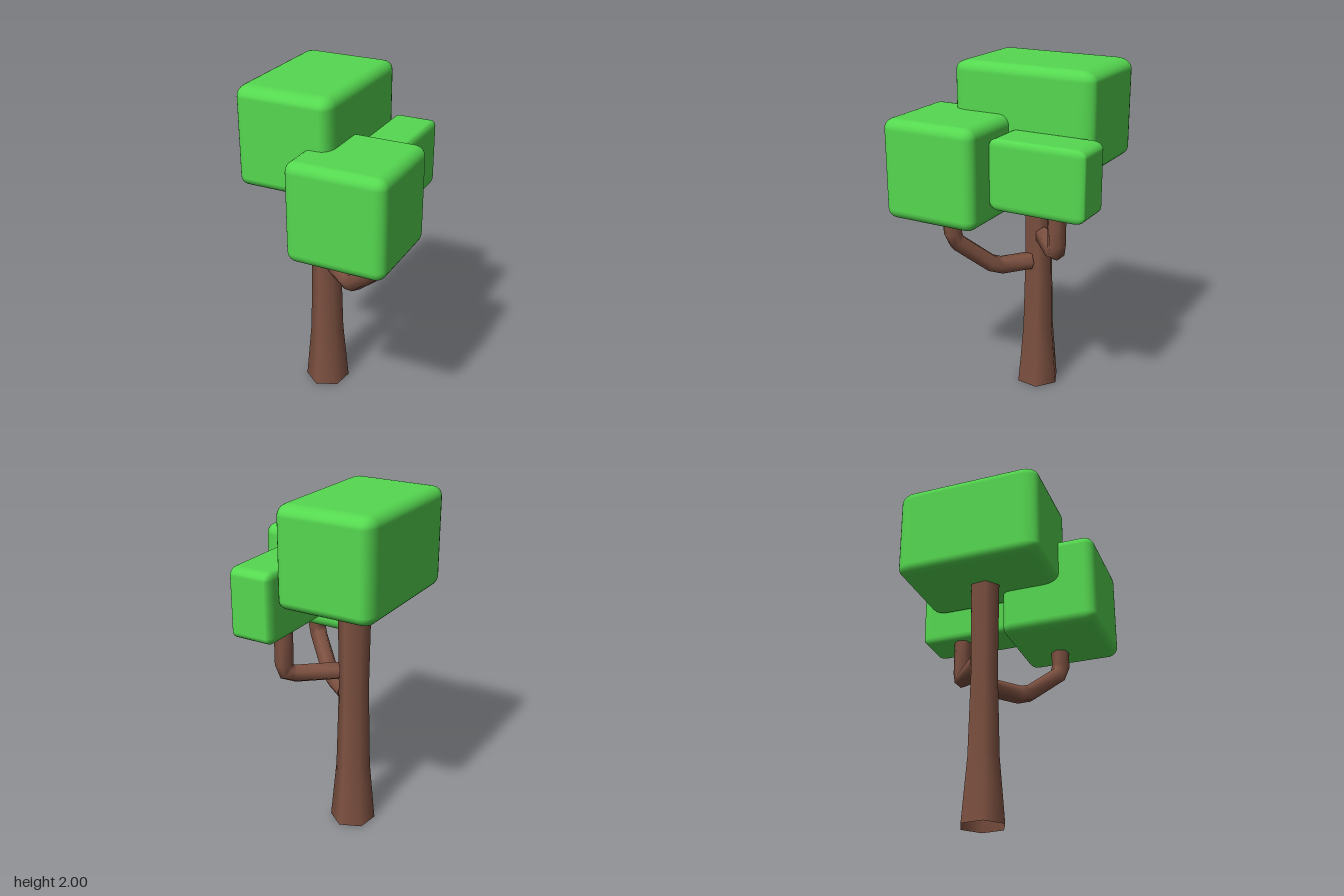
import * as THREE from 'three';
import { RoundedBoxGeometry } from 'three/addons/geometries/RoundedBoxGeometry.js';

const SIDES = 6;
const bark = new THREE.MeshStandardMaterial({ color: 0x7d5141, side: THREE.DoubleSide });
const leaf = new THREE.MeshStandardMaterial({ color: 0x55d850 });

// Six-sided limb swept along a path lying in one vertical plane
function limbGeometry(points, radius, turn) {
  const path = points.map((p) => new THREE.Vector3(...p));
  const run = path[path.length - 1].clone().sub(path[0]).setY(0).normalize();
  const side = new THREE.Vector3(-run.z, 0, run.x);
  const position = [];
  const index = [];
  path.forEach((p, i) => {
    const before = path[Math.max(i - 1, 0)];
    const after = path[Math.min(i + 1, path.length - 1)];
    const tangent = after.clone().sub(before).normalize();
    const up = side.clone().cross(tangent);
    for (let j = 0; j < SIDES; j++) {
      const a = turn + (j / SIDES) * Math.PI * 2;
      const v = p.clone()
        .addScaledVector(side, Math.cos(a) * radius)
        .addScaledVector(up, Math.sin(a) * radius);
      position.push(v.x, v.y, v.z);
      if (i > 0) {
        const k = (j + 1) % SIDES;
        const lo = (i - 1) * SIDES;
        const hi = i * SIDES;
        index.push(lo + j, lo + k, hi + j, lo + k, hi + k, hi + j);
      }
    }
  });
  // Cap on the trunk end, with its own corners to keep the rim sharp
  const cap = position.length / 3;
  position.push(...position.slice(0, SIDES * 3));
  for (let j = 1; j < SIDES - 1; j++) index.push(cap, cap + j + 1, cap + j);
  const geometry = new THREE.BufferGeometry();
  geometry.setAttribute('position', new THREE.Float32BufferAttribute(position, 3));
  geometry.setIndex(index);
  geometry.computeVertexNormals();
  return geometry;
}

export function createModel() {
  const group = new THREE.Group();
  const add = (name, geometry, material, position = [0, 0, 0]) => {
    const mesh = new THREE.Mesh(geometry, material);
    mesh.name = name;
    mesh.position.set(...position);
    group.add(mesh);
  };

  // Trunk: open six-sided column, flared at the foot
  const profile = [[0.1335, 0], [0.1, 0.37], [0.087, 0.87], [0.095, 1.5]]
    .map(([r, y]) => new THREE.Vector2(r, y));
  add('trunk', new THREE.LatheGeometry(profile, SIDES, -0.12), bark, [-0.163, 0, -0.068]);

  // Branches
  add('frontBranch', limbGeometry([
    [-0.095, 0.815, -0.047], [0.05, 0.815, 0.066], [0.105, 0.84, 0.108],
    [0.262, 1.0, 0.236], [0.283, 1.06, 0.25], [0.283, 1.25, 0.25],
  ], 0.053, 0), bark);
  add('backBranch', limbGeometry([
    [-0.1, 0.987, -0.132], [0.085, 0.987, -0.288], [0.125, 1.0, -0.322],
    [0.135, 1.05, -0.332], [0.135, 1.35, -0.332],
  ], 0.053, Math.PI / 6), bark);

  // Foliage: one rounded cube, stretched for each clump
  const clumps = [
    ['topFoliage', [1, 1, 1.51], [-0.205, 1.715, -0.068]],
    ['frontFoliage', [1, 1, 1], [0.2, 1.44, 0.285]],
    ['backFoliage', [0.45, 0.705, 1], [0.19, 1.45, -0.285]],
  ];
  for (const [name, scale, position] of clumps) {
    add(name, new RoundedBoxGeometry(0.57, 0.57, 0.57, 3, 0.06).scale(...scale), leaf, position);
  }
  return group;
}
